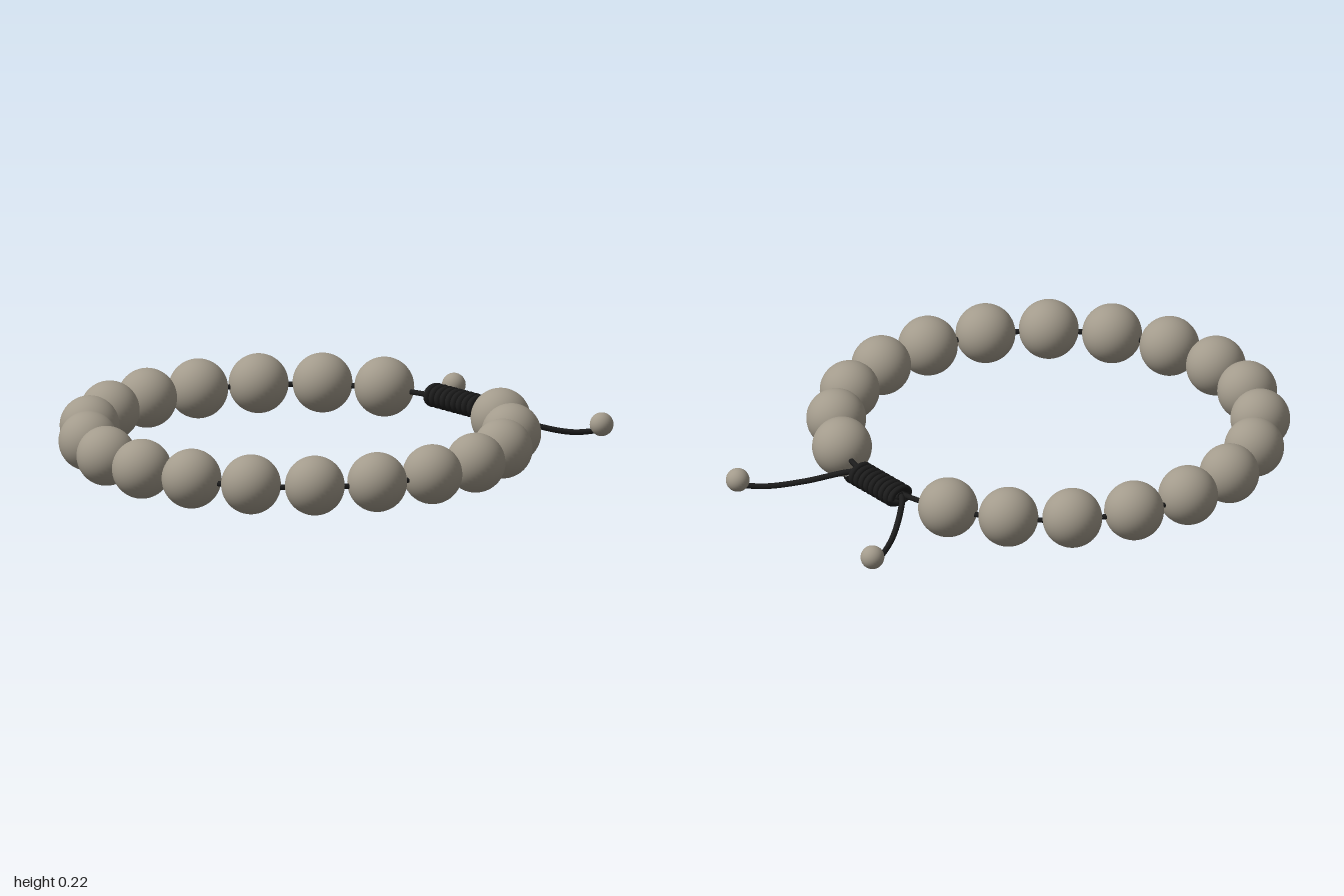
import * as THREE from 'three';

export function createModel() {
  const bracelet = new THREE.Group();
  bracelet.name = 'beadedBracelet';

  const stone = new THREE.MeshStandardMaterial({ color: 0xa39b8c });
  stone.name = 'warm grey stone';
  const black = new THREE.MeshStandardMaterial({ color: 0x1c1c1c });
  black.name = 'black cord';

  const add = (geometry, material, name, x = 0, y = 0, z = 0) => {
    const mesh = new THREE.Mesh(geometry, material);
    mesh.name = name;
    mesh.position.set(x, y, z);
    bracelet.add(mesh);
    return mesh;
  };

  const centreX = -0.128, ringRadius = 0.765;

  // Nineteen beads, leaving a gap for the knot on the +x side
  const beadGeometry = new THREE.SphereGeometry(0.108, 40, 28);
  const count = 19, start = THREE.MathUtils.degToRad(24);
  const step = (Math.PI * 2 - start * 2) / (count - 1);
  for (let i = 0; i < count; i++) {
    const a = start + i * step;
    add(beadGeometry, stone, `bead${i + 1}`,
      centreX + ringRadius * Math.cos(a), 0.111, -ringRadius * Math.sin(a));
  }

  // Cord threaded through the beads and the knot
  const ring = new THREE.TorusGeometry(ringRadius, 0.01, 8, 120).rotateX(Math.PI / 2);
  add(ring, black, 'cord', centreX, 0.104, 0);

  // Sliding knot: a flattened coil around the cord
  class Coil extends THREE.Curve {
    getPoint(t, target = new THREE.Vector3()) {
      const a = t * Math.PI * 2 * 9;
      return target.set(0.644 + 0.046 * Math.cos(a), 0.103 + 0.031 * Math.sin(a), -0.13 + 0.26 * t);
    }
  }
  add(new THREE.TubeGeometry(new Coil(), 260, 0.0125, 8), black, 'knotCoil');

  // Second strand inside the knot
  const core = new THREE.CylinderGeometry(0.016, 0.016, 0.25, 10).rotateX(Math.PI / 2);
  add(core, black, 'knotCore', 0.642, 0.103, 0);

  // Two loose cord ends, each finished with a small bead
  const endGeometry = new THREE.SphereGeometry(0.043, 28, 20);
  const tails = [
    ['back', [[0.632, 0.105, -0.11], [0.655, 0.1, -0.15], [0.77, 0.043, -0.252], [0.87, 0.018, -0.315], [0.952, 0.024, -0.358]]],
    ['front', [[0.63, 0.105, 0.1], [0.65, 0.1, 0.145], [0.77, 0.043, 0.28], [0.87, 0.018, 0.372], [0.952, 0.024, 0.433]]],
  ];
  for (const [side, points] of tails) {
    const path = new THREE.CatmullRomCurve3(points.map((p) => new THREE.Vector3(...p)));
    add(new THREE.TubeGeometry(path, 40, 0.011, 8), black, `${side}CordEnd`);
    add(endGeometry, stone, `${side}EndBead`, 0.952, 0.045, points[4][2]);
  }

  return bracelet;
}
